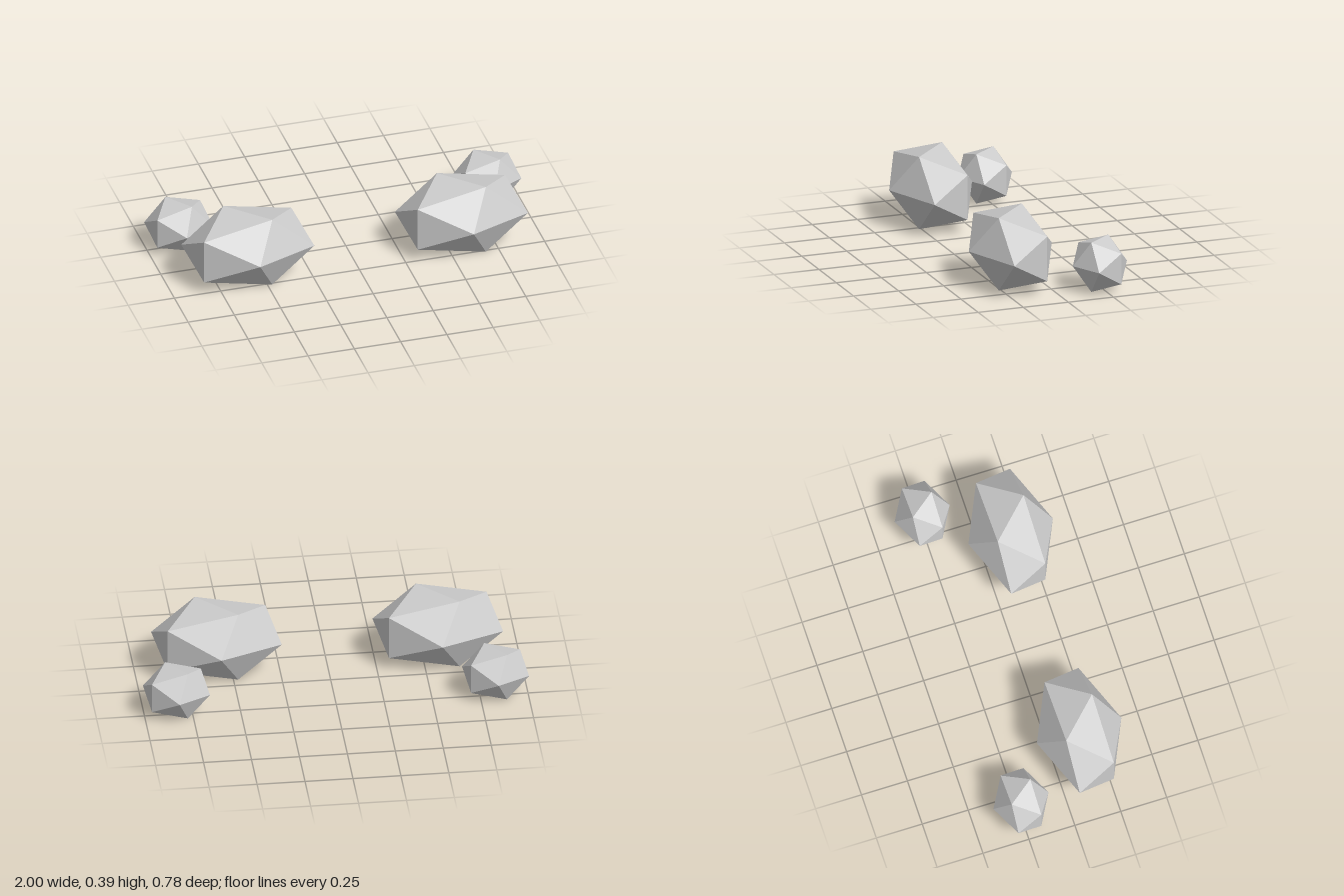
import * as THREE from 'three';

const material = new THREE.MeshStandardMaterial({ color: 0xcccccc, flatShading: true });

// Twenty-sided stone with its poles on the z axis and a front-ring corner towards +x
function makeStone(name, radii, position) {
  const geometry = new THREE.IcosahedronGeometry(1, 0);
  geometry.rotateX(Math.atan(2 / (1 + Math.sqrt(5))));
  geometry.rotateZ(Math.PI / 2);
  geometry.scale(...radii);
  geometry.computeVertexNormals();
  const stone = new THREE.Mesh(geometry, material);
  stone.name = name;
  stone.position.set(...position);
  return stone;
}

export function createModel() {
  const group = new THREE.Group();
  group.name = 'stones';
  // The same pair on each side, all facing the same way
  for (const [side, s] of [['left', 1], ['right', -1]]) {
    group.add(
      makeStone(`${side}LargeStone`, [0.368, 0.23, 0.23], [s * 0.577, 0.197, 0.16]),
      makeStone(`${side}SmallStone`, [0.187, 0.157, 0.15], [s * 0.832, 0.138, -0.239])
    );
  }
  return group;
}
